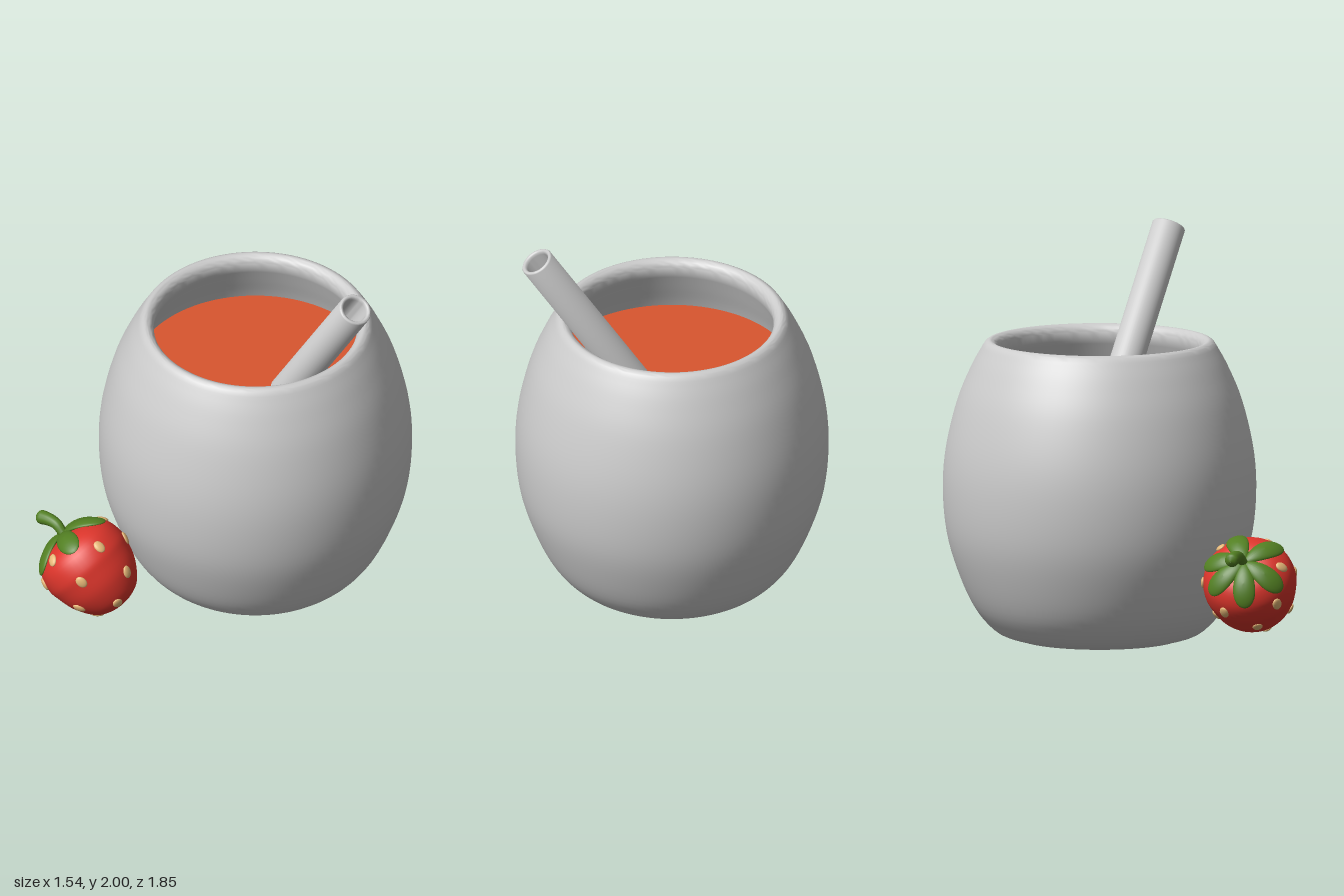
import * as THREE from 'three';
import { toCreasedNormals } from 'three/addons/utils/BufferGeometryUtils.js';

const mat = (color) => new THREE.MeshStandardMaterial({ color });
const grey = mat(0xcccccc);
const orange = mat(0xd9562f);
const red = mat(0xdc352b);
const green = mat(0x527f22);
const cream = mat(0xe6b878);

const vec2 = (list) => list.map(([x, y]) => new THREE.Vector2(x, y));
const spline = (list) => new THREE.SplineCurve(vec2(list));

function add(parent, name, geometry, material) {
  const mesh = new THREE.Mesh(geometry, material);
  mesh.name = name;
  parent.add(mesh);
  return mesh;
}

// Moves every vertex of a geometry by a rule
function reshape(geometry, rule) {
  const pos = geometry.attributes.position;
  const v = new THREE.Vector3();
  for (let i = 0; i < pos.count; i++) {
    v.fromBufferAttribute(pos, i);
    rule(v, i);
    pos.setXYZ(i, v.x, v.y, v.z);
  }
  geometry.computeVertexNormals();
  return geometry;
}

// Round-bellied cup with a thick wall, and the drink inside
function buildCup() {
  const group = new THREE.Group();
  group.name = 'cupWithDrink';
  const outer = spline([[0.41, 0.004], [0.51, 0.04], [0.61, 0.15], [0.69, 0.32], [0.75, 0.52],
    [0.77, 0.74], [0.755, 0.95], [0.70, 1.18], [0.63, 1.35], [0.575, 1.45]]);
  const rim = spline([[0.562, 1.47], [0.545, 1.48], [0.53, 1.479], [0.51, 1.465], [0.5, 1.44]]);
  const inner = spline([[0.505, 1.4], [0.545, 1.3], [0.6, 1.16], [0.66, 0.95], [0.68, 0.74],
    [0.6, 0.3], [0.4, 0.1], [0, 0.09]]);
  const profile = [...vec2([[0, 0], [0.4, 0]]), ...outer.getPoints(40),
    ...rim.getPoints(10), ...inner.getPoints(28)];
  add(group, 'cup', toCreasedNormals(new THREE.LatheGeometry(profile, 96), 0.7), grey);

  const drink = add(group, 'drinkSurface', new THREE.CircleGeometry(0.6, 64), orange);
  drink.rotation.x = -Math.PI / 2;
  drink.position.y = 1.17;
  group.position.z = -0.16;
  return group;
}

// Hollow straw leaning over the rim
function buildStraw() {
  const bottom = new THREE.Vector3(-0.31, 0.3, -0.315);
  const top = new THREE.Vector3(0.685, 1.956, 0.05);
  const axis = top.clone().sub(bottom);
  const len = axis.length();
  const profile = vec2([[0.06, 0], [0.083, 0], [0.083, len - 0.008], [0.079, len - 0.002],
    [0.074, len], [0.067, len - 0.002], [0.062, len - 0.008], [0.06, len - 0.02], [0.06, 0]]);
  const straw = new THREE.Mesh(toCreasedNormals(new THREE.LatheGeometry(profile, 40), 0.8), grey);
  straw.name = 'straw';
  straw.position.copy(bottom);
  straw.quaternion.setFromUnitVectors(new THREE.Vector3(0, 1, 0), axis.normalize());
  return straw;
}

// Strawberry with its axis along local y, calyx at the top
function buildStrawberry() {
  const group = new THREE.Group();
  group.name = 'strawberry';
  const rad = THREE.MathUtils.degToRad;
  const curve = spline([[0, -0.226], [0.07, -0.214], [0.135, -0.178], [0.195, -0.09], [0.222, 0],
    [0.23, 0.06], [0.21, 0.14], [0.15, 0.2], [0.07, 0.222], [0, 0.215]]);
  add(group, 'berry', new THREE.LatheGeometry(curve.getPoints(40), 48), red);

  // Seeds set into the skin: [height on the axis, angle around it]
  const seeds = [[0.18, 86], [0.16, -49], [0.09, 18], [0.1, 133], [0.015, 65], [-0.1, 4],
    [-0.09, 106], [-0.18, -80], [-0.185, 150], [0.02, -35], [0.07, -95], [-0.02, 165],
    [-0.06, -125], [0.09, -155], [-0.19, 50]];
  for (const [height, angle] of seeds) {
    let lo = 0, hi = 0.88;
    for (let i = 0; i < 20; i++) {
      const mid = (lo + hi) / 2;
      if (curve.getPoint(mid).y < height) lo = mid; else hi = mid;
    }
    const p = curve.getPoint(lo), t = curve.getTangent(lo);
    const pivot = new THREE.Group();
    pivot.name = 'seedPivot';
    pivot.rotation.y = -rad(angle);
    const seed = add(pivot, 'seed', new THREE.SphereGeometry(1, 16, 10), cream);
    seed.scale.set(0.012, 0.033, 0.025);
    seed.position.set(p.x, p.y, 0);
    seed.rotation.z = Math.atan2(-t.x, t.y);
    group.add(pivot);
  }

  // Leaves draped over the shoulder of the berry
  for (const angle of [46, 120, 175, -130, -83, -24]) {
    const leaf = add(group, 'leaf', reshape(new THREE.SphereGeometry(1, 28, 14), (v) => {
      const s = (v.x + 1) / 2;
      const phi = 0.02 + 0.95 * s;
      const across = v.z * (0.036 + 0.034 * s);
      const r = 0.232 + 0.032 * s + v.y * 0.016 - across * across * 2;
      v.set(Math.sin(phi) * r, Math.cos(phi) * r, across);
    }), green);
    leaf.rotation.y = -rad(angle);
  }

  // Curved stem, thicker towards its rounded end
  const path = new THREE.CatmullRomCurve3([[0, 0.205], [0, 0.245], [-0.005, 0.285],
    [-0.035, 0.325], [-0.09, 0.368]].map(([x, y], i) => new THREE.Vector3(x, y, -0.01 * i)));
  const rings = 32, sides = 16;
  add(group, 'stem', reshape(new THREE.TubeGeometry(path, rings, 1, sides), (v, i) => {
    const u = Math.floor(i / (sides + 1)) / rings;
    const end = THREE.MathUtils.clamp((u - 0.85) / 0.15, 0, 0.999);
    const c = path.getPointAt(u);
    v.sub(c).multiplyScalar((0.02 + 0.018 * u) * Math.sqrt(1 - end * end)).add(c);
  }), green);

  group.rotation.z = 0.835;
  group.position.set(-0.437, 0.335, 0.69);
  return group;
}

export function createModel() {
  const model = new THREE.Group();
  model.name = 'drinkWithStrawberry';
  model.add(buildCup(), buildStraw(), buildStrawberry());
  return model;
}
